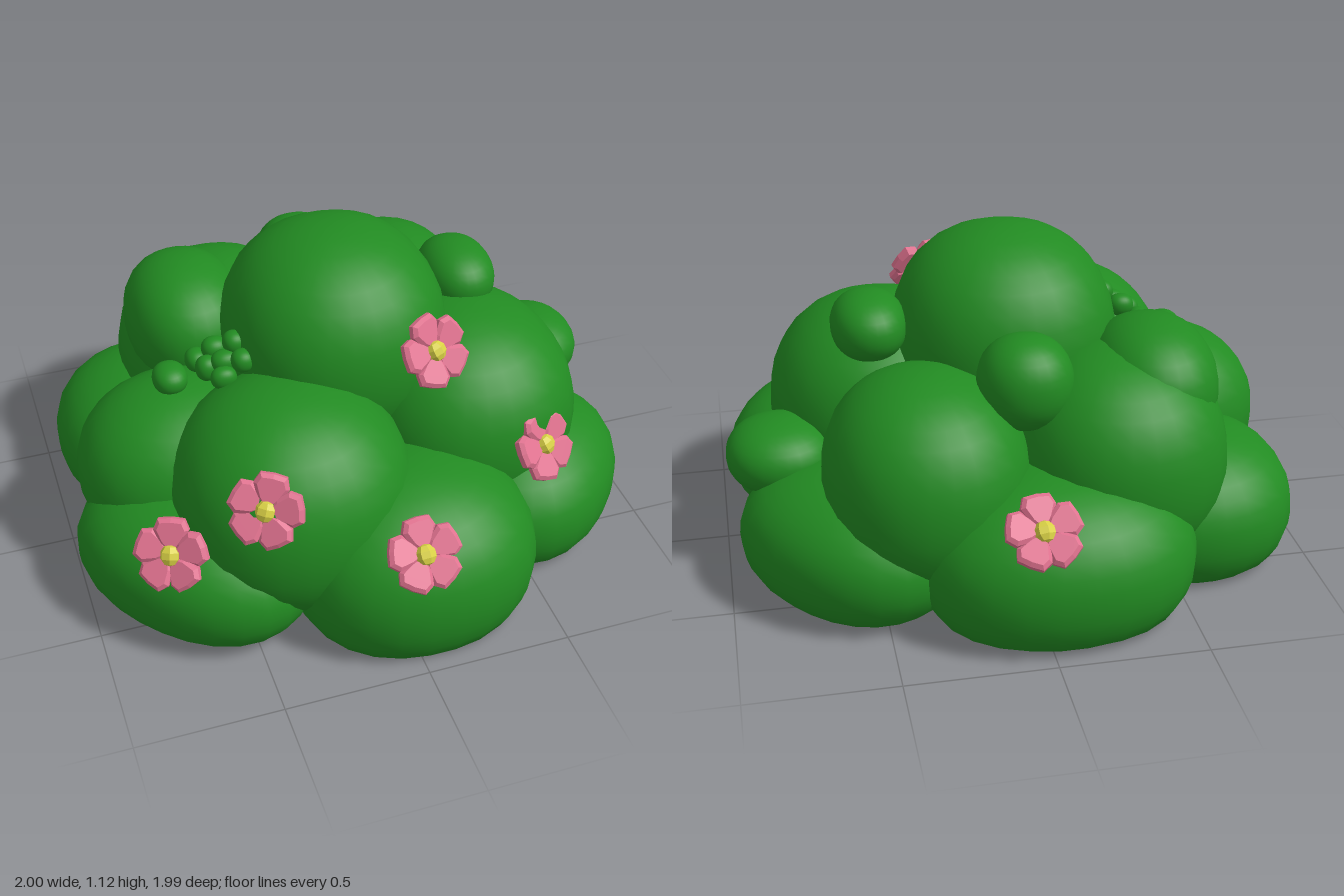
import * as THREE from 'three';
import { mergeVertices } from 'three/addons/utils/BufferGeometryUtils.js';

const mat = (name, color, flatShading = false) => {
  const m = new THREE.MeshStandardMaterial({ color, flatShading });
  m.name = name;
  return m;
};

const FLOOR = 0.01;
const FULLNESS = 2.2; // 2 is a plain ellipsoid, higher is plumper

// Plump ellipsoid, turned by yaw and cut flat where it meets the ground
function puff(name, material, [x, y, z], radii, yaw = 0) {
  const sphere = new THREE.SphereGeometry(1, 26, 18);
  sphere.deleteAttribute('normal');
  sphere.deleteAttribute('uv');
  const g = mergeVertices(sphere);
  const p = g.attributes.position;
  const v = new THREE.Vector3();
  for (let i = 0; i < p.count; i++) {
    v.fromBufferAttribute(p, i);
    const sum = v.toArray().reduce((s, c) => s + Math.abs(c) ** FULLNESS, 0);
    v.multiplyScalar(sum ** (-1 / FULLNESS));
    p.setXYZ(i, v.x, v.y, v.z);
  }
  g.scale(...radii).rotateY(yaw).translate(x, y, z);
  for (let i = 0; i < p.count; i++) p.setY(i, Math.max(p.getY(i), FLOOR));
  g.computeVertexNormals();
  const mesh = new THREE.Mesh(g, material);
  mesh.name = name;
  return mesh;
}

// Five broad, notched, faceted petals round a small heart, facing +z
function flower(pink, yellow) {
  const group = new THREE.Group();
  group.name = 'flower';
  const shape = new THREE.Shape([
    [0, 0], [0.035, 0.04], [0.056, 0.085], [0.042, 0.118],
    [0, 0.122], [-0.042, 0.118], [-0.056, 0.085], [-0.035, 0.04],
  ].map(([x, y]) => new THREE.Vector2(x, y)));
  const geo = new THREE.ExtrudeGeometry(shape, {
    depth: 0.018, bevelEnabled: true, bevelThickness: 0.012, bevelSize: 0.012, bevelOffset: -0.009, bevelSegments: 1,
  });
  geo.translate(0, 0, -0.012);
  for (let i = 0; i < 5; i++) {
    const petal = new THREE.Mesh(geo, pink);
    petal.name = 'petal';
    petal.rotation.order = 'ZXY';
    petal.rotation.set(0.12, 0.12, i * Math.PI * 0.4);
    group.add(petal);
  }
  const heart = new THREE.Mesh(new THREE.SphereGeometry(0.036, 7, 5), yellow);
  heart.name = 'flowerHeart';
  heart.scale.z = 0.8;
  heart.position.z = 0.018;
  group.add(heart);
  return group;
}

export function createModel() {
  const root = new THREE.Group();
  root.name = 'floweringBush';
  const green = mat('leafGreen', 0x228b22);
  const pink = mat('petalPink', 0xe0728f, true);
  const yellow = mat('heartYellow', 0xd8d045, true);

  // Foliage: ground ring, middle ring, crown and small side puffs
  const puffs = {
    lowerPuff: [
      [[0.07, 0.2, 0.59], [0.435, 0.345, 0.4]],
      [[-0.63, 0.19, 0.39], [0.44, 0.25, 0.31], -0.86],
      [[0.59, 0.19, 0.34], [0.4, 0.265, 0.34], 0.86],
      [[0.57, 0.19, -0.38], [0.42, 0.25, 0.34], -0.86],
      [[-0.07, 0.2, -0.62], [0.47, 0.31, 0.38]],
      [[-0.6, 0.19, -0.33], [0.37, 0.28, 0.37]],
    ],
    middlePuff: [
      [[-0.29, 0.4, 0.4], [0.41, 0.4, 0.41]],
      [[0.41, 0.44, 0.17], [0.4, 0.395, 0.42]],
      [[0.33, 0.42, -0.41], [0.35, 0.37, 0.39]],
      [[-0.33, 0.44, -0.39], [0.37, 0.38, 0.39]],
      [[-0.58, 0.35, 0.08], [0.38, 0.32, 0.32]],
    ],
    crownPuff: [[[-0.01, 0.74, 0], [0.39, 0.39, 0.4]]],
    sidePuff: [
      [[-0.46, 0.66, -0.33], [0.22, 0.225, 0.28]],
      [[0, 0.75, -0.44], [0.16, 0.16, 0.16]],
      [[0.47, 0.83, -0.06], [0.13, 0.115, 0.17]],
      [[0.8, 0.4, -0.12], [0.185, 0.125, 0.19]],
    ],
    // Cluster of little buds beside the crown
    bud: [
      [[-0.61, 0.69, 0.05], [0.06, 0.05, 0.07]],
      [[-0.51, 0.73, 0.03], [0.04, 0.04, 0.045]],
      [[-0.45, 0.78, 0.05], [0.045, 0.04, 0.04]],
      [[-0.49, 0.74, 0.1], [0.04, 0.045, 0.04]],
      [[-0.43, 0.77, 0.12], [0.05, 0.04, 0.04]],
      [[-0.39, 0.82, 0.09], [0.04, 0.04, 0.04]],
      [[-0.45, 0.74, 0.17], [0.045, 0.04, 0.035]],
      [[-0.38, 0.79, 0.16], [0.04, 0.04, 0.04]],
    ],
  };
  for (const [name, list] of Object.entries(puffs))
    for (const [centre, radii, yaw] of list) root.add(puff(name, green, centre, radii, yaw));

  // Flat underside closing the middle
  const base = new THREE.Mesh(new THREE.CylinderGeometry(0.66, 0.66, 0.06, 32), green);
  base.name = 'base';
  base.position.y = FLOOR + 0.028;
  root.add(base);

  // Flowers: position, facing direction, spin
  const flowers = [
    [[0.215, 0.85, 0.385], [0.25, 0.5, 0.8], 0.2],
    [[-0.46, 0.605, 0.7], [-0.4, 0.5, 0.75], -0.15],
    [[-0.75, 0.39, 0.58], [-0.45, 0.5, 0.7], 0.1],
    [[0.01, 0.435, 0.88], [0, 0.65, 0.72], 0.05],
    [[0.56, 0.495, 0.56], [0.4, 0.5, 0.75], 0.15],
    [[0.03, 0.44, -0.885], [0, 0.72, -0.7], 0.1],
  ];
  for (const [pos, dir, spin] of flowers) {
    const f = flower(pink, yellow);
    f.position.set(...pos);
    f.lookAt(new THREE.Vector3(...pos).add(new THREE.Vector3(...dir)));
    f.rotateZ(spin);
    root.add(f);
  }
  return root;
}
